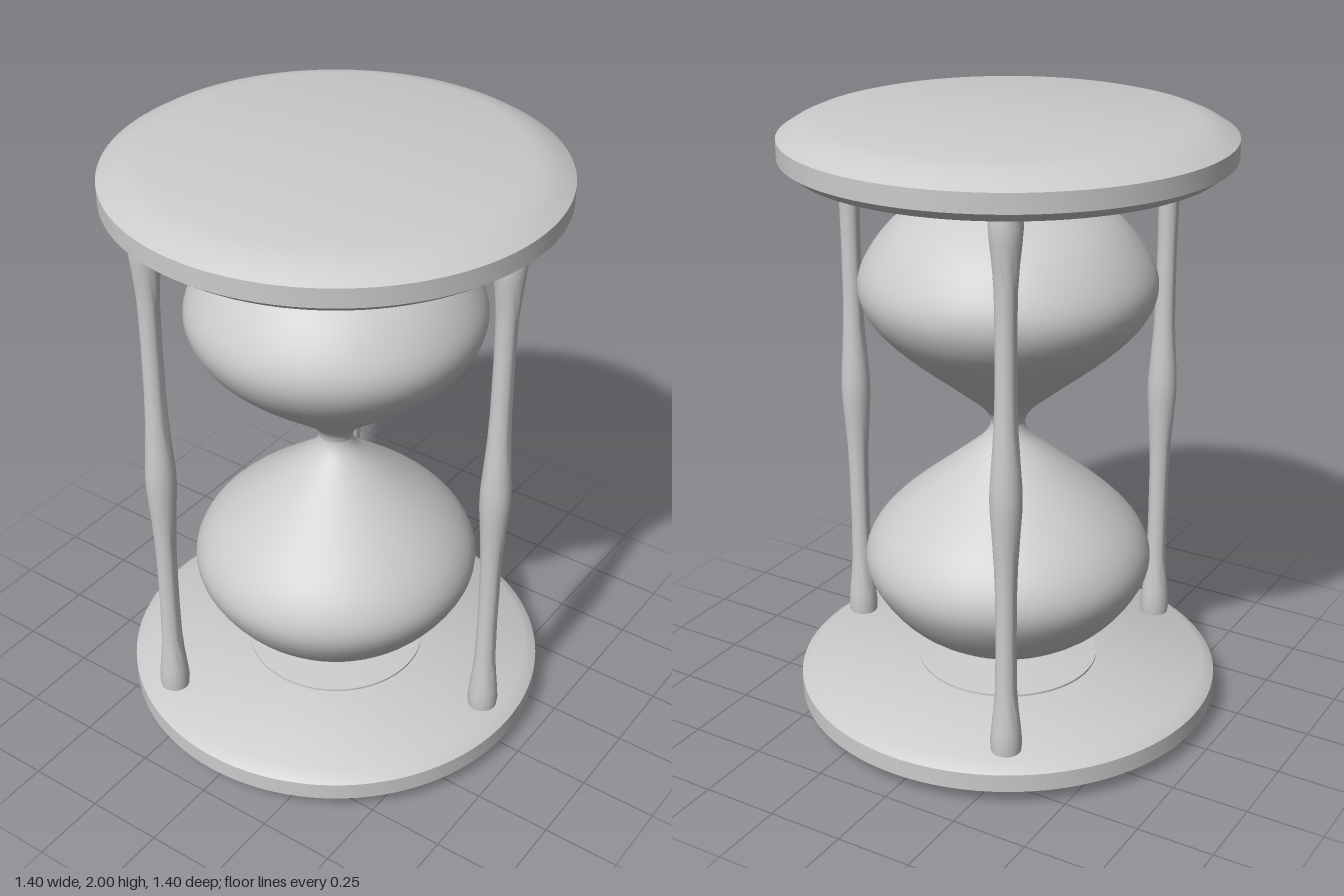
import * as THREE from 'three';
import { toCreasedNormals } from 'three/addons/utils/BufferGeometryUtils.js';

const material = new THREE.MeshStandardMaterial({ color: 0xcccccc });
const toPoints = (pairs) => pairs.map(([r, y]) => new THREE.Vector2(r, y));

// Mirrors a lower half profile about y = 1, giving the full bottom-to-top profile
const mirrorProfile = (half) => [
  ...half,
  ...half.filter((p) => p.y < 0.999).reverse().map((p) => new THREE.Vector2(p.x, 2 - p.y)),
];

function turned(name, profile, segments, crease) {
  let geometry = new THREE.LatheGeometry(profile, segments);
  if (crease) geometry = toCreasedNormals(geometry, crease);
  const mesh = new THREE.Mesh(geometry, material);
  mesh.name = name;
  return mesh;
}

export function createModel() {
  const model = new THREE.Group();
  model.name = 'hourglass';

  // Round end plates with a wide outer bevel and a small inner one
  const plate = [[0, 0], [0.57, 0], [0.62, 0.013], [0.66, 0.03], [0.7, 0.055],
    [0.7, 0.115], [0.66, 0.145], [0, 0.145]];
  const topPlate = plate.map(([r, y]) => [r, 2 - y]).reverse();
  model.add(turned('bottomPlate', toPoints(plate), 96, 0.75));
  model.add(turned('topPlate', toPoints(topPlate), 96, 0.75));

  // Glass: two bulbs joined by a narrow neck
  const bulbCurve = new THREE.SplineCurve(toPoints([
    [0.05, 0.182], [0.1, 0.19], [0.21, 0.235], [0.35, 0.325], [0.44, 0.435],
    [0.472, 0.53], [0.44, 0.625], [0.35, 0.725], [0.2, 0.848], [0.1, 0.93],
    [0.065, 0.97], [0.055, 1],
  ]));
  const bulb = [new THREE.Vector2(0, 0.182), ...bulbCurve.getPoints(44)];
  model.add(turned('glassBulbs', mirrorProfile(bulb), 64));

  // Flared feet holding the glass at both ends
  const foot = [[0, 0.147], [0.3, 0.147], [0.3, 0.154], [0.18, 0.167], [0.06, 0.18], [0.05, 0.195], [0, 0.195]];
  model.add(turned('bottomFoot', toPoints(foot), 64, 0.6));
  model.add(turned('topFoot', toPoints(foot.map(([r, y]) => [r, 2 - y]).reverse()), 64, 0.6));

  // Three turned posts, one of them at the front
  const postHalf = toPoints([
    [0, 0.143], [0.047, 0.143], [0.05, 0.175], [0.046, 0.225], [0.039, 0.29], [0.034, 0.36],
    [0.032, 0.5], [0.033, 0.68], [0.036, 0.78], [0.043, 0.89], [0.048, 0.96], [0.049, 1],
  ]);
  const postProfile = mirrorProfile(postHalf);
  for (let i = 0; i < 3; i++) {
    const angle = (i * Math.PI * 2) / 3;
    const post = turned('post' + (i + 1), postProfile, 24, 0.7);
    post.position.set(0.6 * Math.sin(angle), 0, 0.6 * Math.cos(angle));
    model.add(post);
  }
  return model;
}
